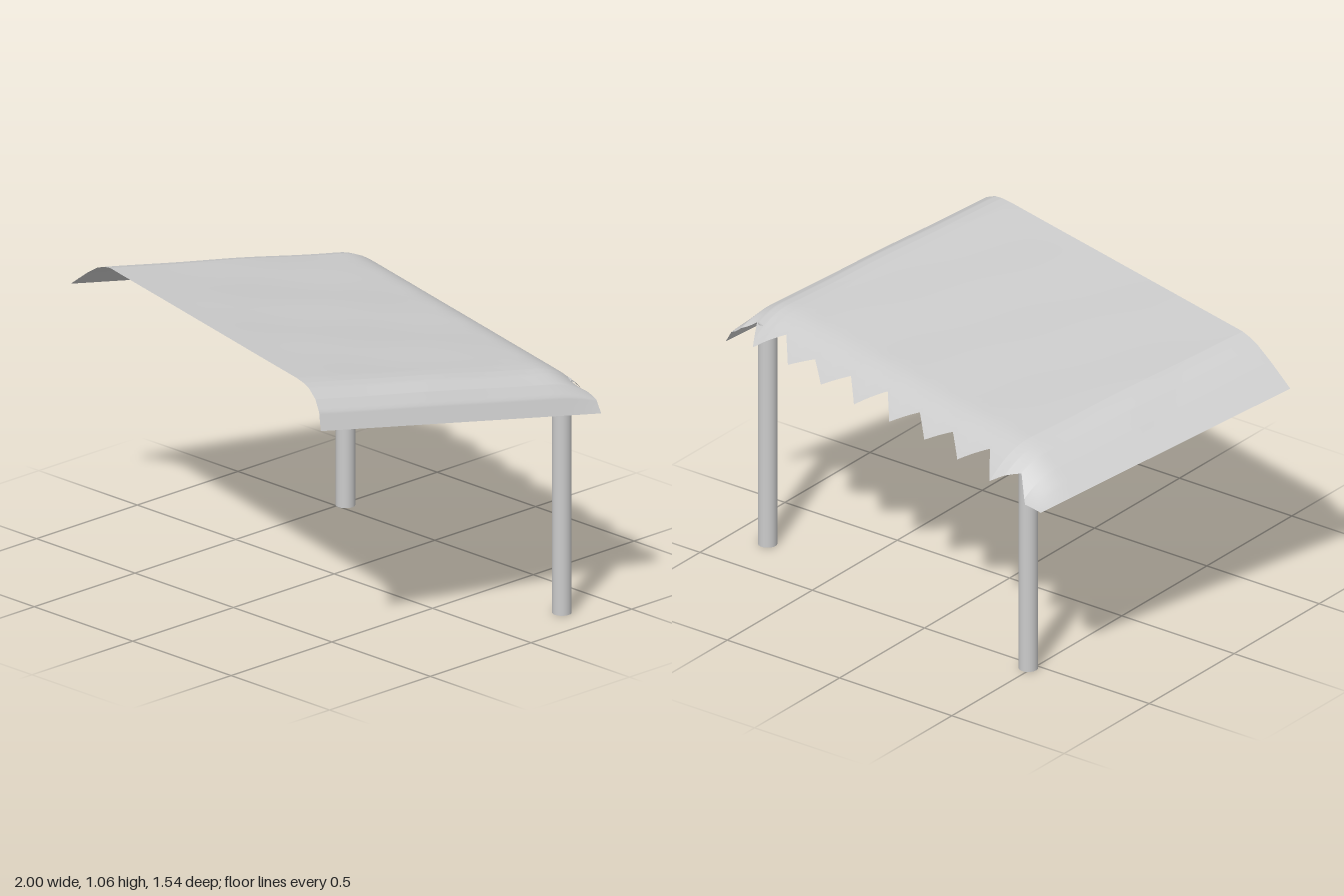
import * as THREE from 'three';

// Canopy plan frame: origin at one front corner, u along the front edge, v toward the back
const ORIGIN = [-1, 0.33], C = 0.969, S = 0.246;
const toUV = ([x, z]) => {
  const dx = x - ORIGIN[0], dz = z - ORIGIN[1];
  return [dx * C + dz * S, dx * S - dz * C];
};
const toXZ = (u, v) => [ORIGIN[0] + u * C + v * S, ORIGIN[1] + u * S - v * C];

// Serrated back edge in plan (x, z), alternating tips and notches
const BACK = [
  [-0.72, -0.77], [-0.64, -0.755], [-0.575, -0.69], [-0.47, -0.74], [-0.4, -0.645], [-0.285, -0.685],
  [-0.205, -0.605], [-0.1, -0.635], [-0.02, -0.555], [0.09, -0.59], [0.165, -0.5], [0.28, -0.547],
  [0.355, -0.465], [0.465, -0.497], [0.545, -0.425], [0.65, -0.447], [0.725, -0.357], [0.84, -0.402],
  [0.885, -0.317], [0.955, -0.352], [1, -0.35],
].map(toUV);
const END = BACK[BACK.length - 1][0];

// Arched cross-section: gentle shoulder on one side, tight one on the other
const ARCH = [
  [0, 0], [0.05, 0.036], [0.1, 0.071], [0.165, 0.11], [0.21, 0.127], [0.25, 0.135], [END - 0.2, 0.135],
  [END - 0.15, 0.132], [END - 0.11, 0.124], [END - 0.06, 0.1], [END - 0.025, 0.062], [END, 0],
];
function sample(points, u) {
  let i = 1;
  while (i < points.length - 1 && points[i][0] < u) i++;
  const [a, b] = [points[i - 1], points[i]];
  return THREE.MathUtils.lerp(a[1], b[1], THREE.MathUtils.clamp((u - a[0]) / (b[0] - a[0]), 0, 1));
}

function roofHeight(u, v) {
  const side = Math.min(1, Math.min(u, END - u) / 0.1);
  const droop = 2.7 * Math.max(0, v - 0.98) ** 2 * side;
  const ripple = 0.004 * side * Math.sin(Math.PI * Math.min(1, v / 1.1)) * Math.sin(u * 11 + v * 3) * Math.cos(v * 7 - u * 2);
  return 0.92 - 0.124 * v + 1.015 * sample(ARCH, u) - droop + ripple;
}

function canopyGeometry() {
  // Columns follow the teeth and the arch breaks so both stay crisp
  const columns = [];
  for (let i = 0; i < BACK.length - 1; i++)
    for (let k = 0; k < 4; k++) columns.push(THREE.MathUtils.lerp(BACK[i][0], BACK[i + 1][0], k / 4));
  columns.push(...ARCH.map((p) => p[0]));
  const us = [...new Set(columns)].sort((a, b) => a - b).filter((u, i, all) => i === 0 || u - all[i - 1] > 1e-5);

  const rows = 28, positions = [], index = [];
  us.forEach((u, i) => {
    const front = 0.123 * sample(ARCH, u), back = sample(BACK, u);
    for (let j = 0; j <= rows; j++) {
      const v = THREE.MathUtils.lerp(front, back, 1 - (1 - j / rows) ** 1.5);
      const [x, z] = toXZ(u, v);
      positions.push(x, roofHeight(u, v), z);
      if (i < us.length - 1 && j < rows) {
        const a = i * (rows + 1) + j, b = a + rows + 1;
        index.push(a, b, b + 1, a, b + 1, a + 1);
      }
    }
  });
  const geometry = new THREE.BufferGeometry();
  geometry.setAttribute('position', new THREE.Float32BufferAttribute(positions, 3));
  geometry.setIndex(index);
  geometry.computeVertexNormals();
  return geometry;
}

export function createModel() {
  const group = new THREE.Group();
  group.name = 'canopyShelter';

  const canopy = new THREE.Mesh(
    canopyGeometry(),
    new THREE.MeshStandardMaterial({ color: 0xcccccc, side: THREE.DoubleSide })
  );
  canopy.name = 'canopy';
  group.add(canopy);

  // Two round posts under the back edge
  const postMaterial = new THREE.MeshStandardMaterial({ color: 0xcccccc });
  const postGeometry = new THREE.CylinderGeometry(0.035, 0.035, 0.88, 24);
  for (const [name, x, z] of [['rightPost', -0.485, -0.53], ['leftPost', 0.852, -0.298]]) {
    const post = new THREE.Mesh(postGeometry, postMaterial);
    post.name = name;
    post.position.set(x, 0.44, z);
    group.add(post);
  }
  return group;
}
